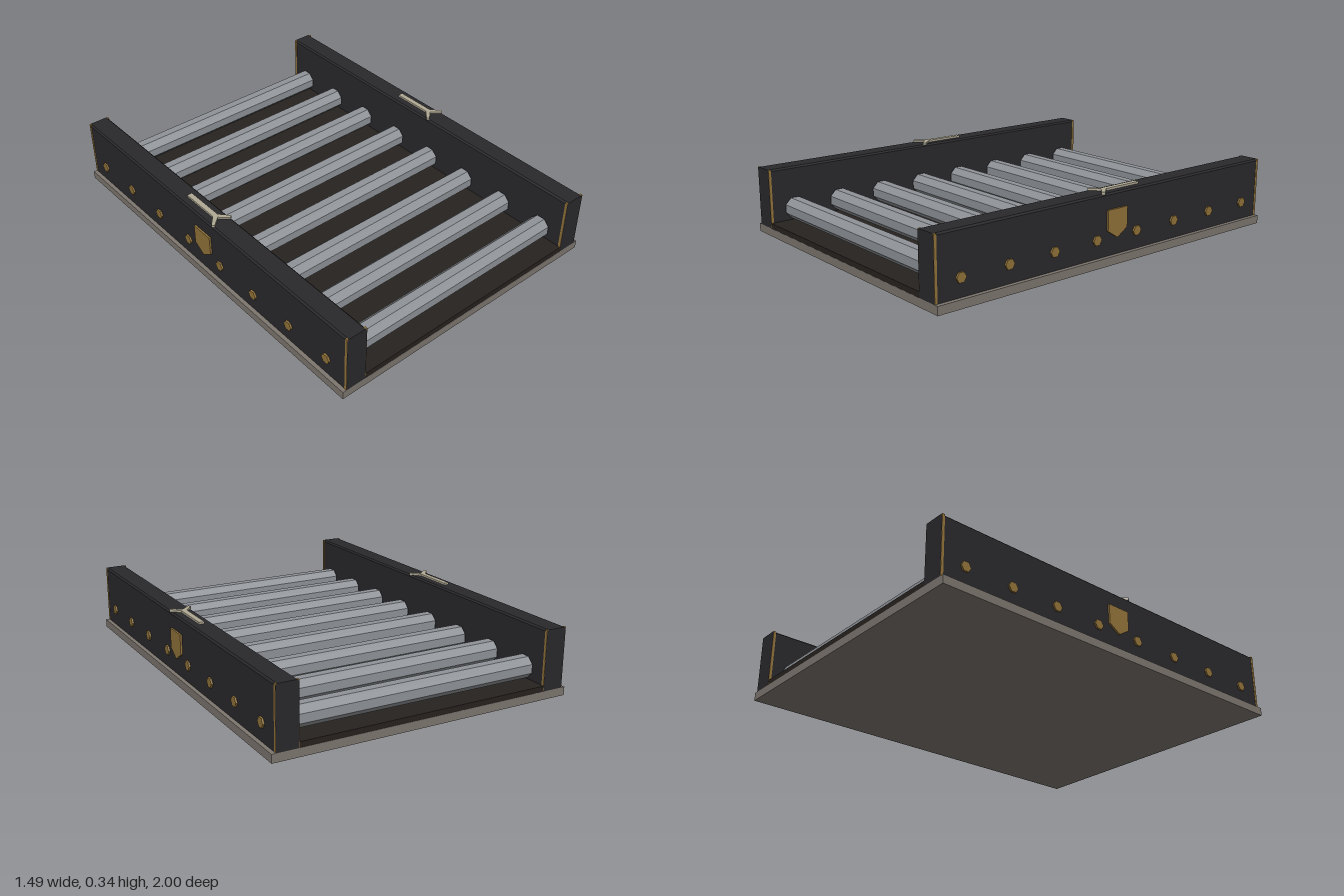
import * as THREE from 'three';

const paint = (color) => new THREE.MeshStandardMaterial({ color, flatShading: true });
const DARK = paint(0x29292c), DECK = paint(0x27221f), STONE = paint(0x7d766f);
const STEEL = paint(0x8f9398), GOLD = paint(0x92733a), CREAM = paint(0xb0a995);

function add(parent, name, geometry, material, x = 0, y = 0, z = 0) {
  const mesh = new THREE.Mesh(geometry, material);
  mesh.name = name;
  mesh.position.set(x, y, z);
  parent.add(mesh);
  return mesh;
}

function extrude(points, depth) {
  const shape = new THREE.Shape(points.map(([x, y]) => new THREE.Vector2(x, y)));
  return new THREE.ExtrudeGeometry(shape, { depth, bevelEnabled: false });
}

// One side rail with end trims, bolts, shield plate and direction marker, centred on its own x
function createSide(name, sign, rollerZ) {
  const side = new THREE.Group();
  side.name = name;
  side.position.x = sign * 0.674;

  // Rail with a small chamfer along both top edges
  const rail = extrude([[-0.052, 0.04], [0.052, 0.04], [0.052, 0.322], [0.044, 0.33],
    [-0.044, 0.33], [-0.052, 0.322]], 2);
  add(side, 'rail', rail, DARK, 0, 0, -1);

  // Gold trims wrapping the rail ends
  for (const end of [-1, 1]) {
    add(side, 'endTrim', new THREE.BoxGeometry(0.107, 0.289, 0.013), GOLD, 0, 0.185, end * 0.993);
  }

  // Hexagonal bolts in line with the rollers
  const bolt = new THREE.CylinderGeometry(0.025, 0.025, 0.02, 6).rotateX(Math.PI / 2).rotateZ(Math.PI / 2);
  bolt.rotateY(Math.PI / 2);
  const head = new THREE.CylinderGeometry(0.025, 0.025, 0.02, 6).rotateZ(Math.PI / 2);
  for (const z of rollerZ) add(side, 'bolt', head, GOLD, sign * 0.051, 0.127, z);

  // Plain shield plate on the outer face
  const shield = extrude([[-0.06, 0.255], [-0.06, 0.158], [0, 0.12], [0.06, 0.158], [0.06, 0.255]], 0.012);
  add(side, 'shieldPlate', shield, GOLD, sign * 0.049).rotation.y = sign * Math.PI / 2;

  // Forked direction marker lying on top of the rail
  const marker = extrude([[-0.013, 0.175], [-0.013, -0.03], [-0.055, -0.078], [-0.045, -0.09],
    [0, -0.05], [0.045, -0.09], [0.055, -0.078], [0.013, -0.03], [0.013, 0.175]], 0.012);
  add(side, 'directionMarker', marker.rotateX(-Math.PI / 2), CREAM, 0, 0.328, 0);
  return side;
}

export function createModel() {
  const model = new THREE.Group();
  model.name = 'rollerConveyor';

  // Base slab and dark deck
  add(model, 'base', new THREE.BoxGeometry(1.492, 0.04, 2), STONE, 0, 0.02, 0);
  add(model, 'deck', new THREE.BoxGeometry(1.25, 0.027, 1.998), DECK, 0, 0.0525, 0);

  // Eight octagonal rollers with flat sides up
  const rollerZ = Array.from({ length: 8 }, (_, i) => -0.878 + i * 0.25);
  const radius = 0.051 / Math.cos(Math.PI / 8);
  const roller = new THREE.CylinderGeometry(radius, radius, 1.222, 8)
    .rotateY(Math.PI / 8).rotateZ(Math.PI / 2);
  for (const z of rollerZ) add(model, 'roller', roller, STEEL, 0, 0.128, z);

  model.add(createSide('leftSide', 1, rollerZ), createSide('rightSide', -1, rollerZ));
  return model;
}
